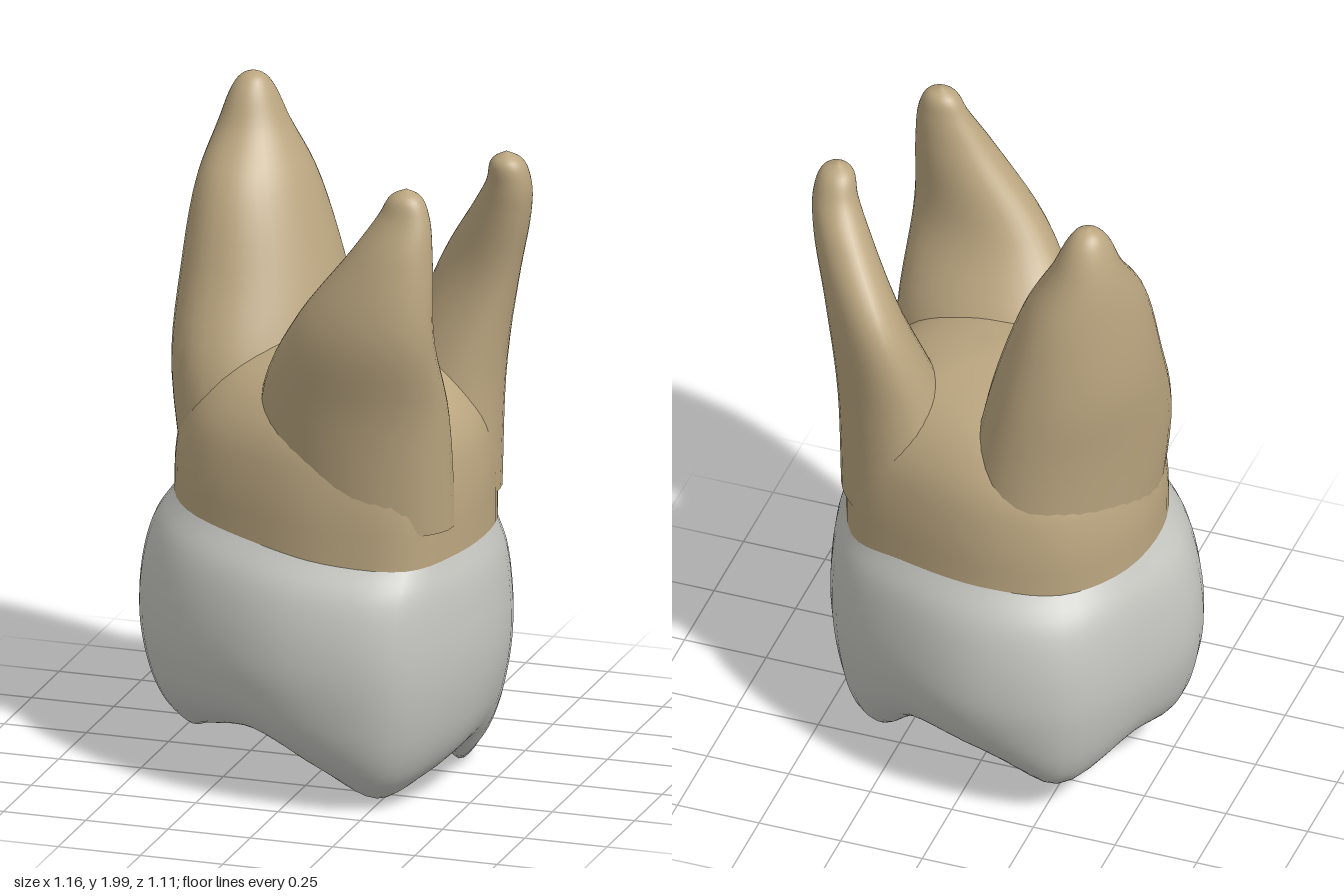
import * as THREE from 'three';
import { mergeVertices } from 'three/addons/utils/BufferGeometryUtils.js';

const V = (x, y, z) => new THREE.Vector3(x, y, z);

// Smooth skin over closed rings of equal length, listed from bottom to top
function loft(rings, sides, rows) {
  const loops = rings.map((r) => {
    const c = new THREE.CatmullRomCurve3(r, true, 'centripetal');
    return Array.from({ length: sides }, (_, j) => c.getPoint(j / sides));
  });
  const pos = [], idx = [];
  const columns = Array.from({ length: sides }, (_, j) =>
    new THREE.CatmullRomCurve3(loops.map((l) => l[j]), false, 'centripetal').getPoints(rows));
  for (let i = 0; i <= rows; i++)
    for (let j = 0; j < sides; j++) pos.push(...columns[j][i].toArray());
  for (let i = 0; i < rows; i++)
    for (let j = 0; j < sides; j++) {
      const k = (j + 1) % sides;
      const a = i * sides + j, b = a + sides, c = i * sides + k, d = c + sides;
      idx.push(a, b, c, b, d, c);
    }
  let g = new THREE.BufferGeometry();
  g.setAttribute('position', new THREE.Float32BufferAttribute(pos, 3));
  g.setIndex(idx);
  g = mergeVertices(g, 1e-5);
  g.computeVertexNormals();
  return g;
}

// Twelve columns around the tooth, from +x towards +z
const belly = [[0.53, 0], [0.49, 0.27], [0.35, 0.5], [0.1, 0.55], [-0.15, 0.49], [-0.45, 0.28],
  [-0.58, 0], [-0.51, -0.25], [-0.35, -0.5], [-0.08, -0.555], [0.2, -0.46], [0.43, -0.29]]
  .map(([x, z]) => V(x, 0.45, z));
const neck = [[0.485, 0.77, 0], [0.46, 0.76, 0.22], [0.36, 0.75, 0.41], [0.12, 0.76, 0.45],
  [-0.1, 0.785, 0.4], [-0.36, 0.81, 0.25], [-0.47, 0.815, 0.02], [-0.44, 0.8, -0.23],
  [-0.3, 0.79, -0.4], [-0.08, 0.8, -0.455], [0.2, 0.78, -0.385], [0.39, 0.74, -0.27]]
  .map((p) => V(...p));
const rim = [[0.38, 0.11, 0.09], [0.33, 0.07, 0.24], [0.25, 0.035, 0.36], [0.1, 0.12, 0.4],
  [-0.1, 0.21, 0.37], [-0.3, 0.16, 0.22], [-0.4, 0.1, 0.05], [-0.41, 0.17, -0.18],
  [-0.28, 0.11, -0.4], [-0.08, 0.18, -0.38], [0.14, 0.19, -0.32], [0.33, 0.01, -0.15]]
  .map((p) => V(...p));

// Crown: neck to belly, belly to cusp rim, then into the central hollow
function crownGeometry() {
  const blend = (a, b, g, f) => a.map((p, i) => {
    const q = p.clone().lerp(b[i], g);
    q.y = p.y + (b[i].y - p.y) * f;
    return q;
  });
  const hollow = (s, mix, depth) => rim.map((p) =>
    V(p.x * s, p.y + (depth - p.y) * mix, p.z * s - 0.02 * (1 - s)));
  return loft([
    hollow(0, 1, 0.3), hollow(0.42, 0.8, 0.28), hollow(0.8, 0.35, 0.26), rim,
    blend(belly, rim, 0.56, 0.87), blend(belly, rim, 0.28, 0.66), blend(belly, rim, 0.08, 0.33),
    belly, blend(neck, belly, 0.9, 0.6), blend(neck, belly, 0.58, 0.26), neck,
  ], 60, 44);
}

// Trunk: neck outline rising to the saddle where the roots part
function trunkGeometry() {
  const ring = (s, y) => neck.map((p) => V(p.x * s + 0.03 * (1 - s), y, p.z * s));
  return loft([neck, ring(0.99, 0.95), ring(0.92, 1.1), ring(0.72, 1.22), ring(0.4, 1.29), ring(0, 1.32)], 60, 20);
}

// Root: tapering ellipses given as [y, centre x, centre z, long radius, short radius]
function rootGeometry(degrees, sections) {
  const t = THREE.MathUtils.degToRad(degrees);
  return loft(sections.map(([y, cx, cz, a, b]) => Array.from({ length: 12 }, (_, i) => {
    const u = (i / 12) * Math.PI * 2, p = a * Math.cos(u), q = b * Math.sin(u);
    return V(cx + p * Math.cos(t) - q * Math.sin(t), y, cz + p * Math.sin(t) + q * Math.cos(t));
  })), 36, 32);
}

export function createModel() {
  const enamel = new THREE.MeshStandardMaterial({ color: 0xc6c6c1 });
  enamel.name = 'enamel';
  const dentine = new THREE.MeshStandardMaterial({ color: 0xbba680 });
  dentine.name = 'dentine';

  const model = new THREE.Group();
  model.name = 'molar';
  const add = (name, geometry, material) => {
    const m = new THREE.Mesh(geometry, material);
    m.name = name;
    model.add(m);
  };

  add('crown', crownGeometry(), enamel);
  add('rootTrunk', trunkGeometry(), dentine);
  // Broad tall root
  add('largeRoot', rootGeometry(-65, [
    [0.85, -0.18, -0.1, 0.33, 0.26], [1.2, -0.235, -0.11, 0.32, 0.235], [1.45, -0.265, -0.155, 0.265, 0.21],
    [1.7, -0.295, -0.19, 0.195, 0.155], [1.85, -0.315, -0.225, 0.11, 0.1],
    [1.95, -0.32, -0.23, 0.065, 0.06], [1.985, -0.32, -0.23, 0.035, 0.035], [2, -0.32, -0.23, 0, 0],
  ]), dentine);
  // Flattened root at the front
  add('frontRoot', rootGeometry(15, [
    [0.85, 0.16, 0.22, 0.3, 0.2], [1.2, 0.16, 0.275, 0.3, 0.19], [1.47, 0.225, 0.385, 0.225, 0.13],
    [1.7, 0.31, 0.395, 0.13, 0.09], [1.82, 0.345, 0.385, 0.08, 0.058],
    [1.88, 0.35, 0.382, 0.048, 0.04], [1.905, 0.35, 0.38, 0, 0],
  ]), dentine);
  // Slender curved root at the side
  add('sideRoot', rootGeometry(50, [
    [0.85, 0.26, -0.12, 0.23, 0.2], [1.2, 0.31, -0.155, 0.2, 0.15], [1.5, 0.39, -0.175, 0.18, 0.1],
    [1.7, 0.475, -0.115, 0.12, 0.078], [1.8, 0.51, -0.075, 0.08, 0.063],
    [1.87, 0.512, -0.055, 0.052, 0.046], [1.9, 0.51, -0.05, 0, 0],
  ]), dentine);
  return model;
}
